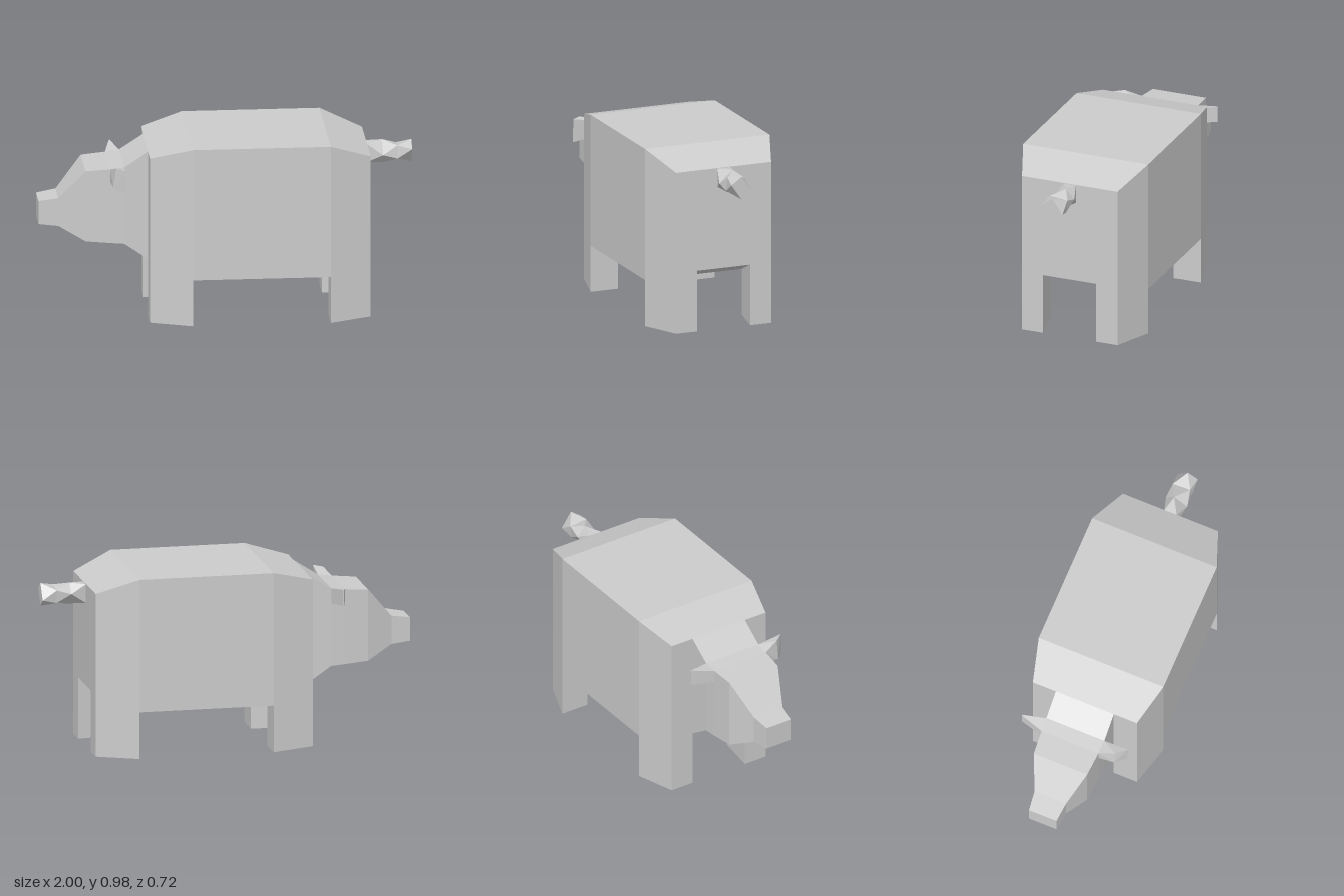
import * as THREE from 'three';

const material = new THREE.MeshStandardMaterial({ color: 0xcccccc, flatShading: true });

// Skin a row of four-cornered rings; corners run counter-clockwise seen from the far end.
function loft(name, rings, capStart = true, capEnd = true) {
  const pos = [];
  const quad = (a, b, c, d) => [a, b, c, a, c, d].forEach((p) => pos.push(...p));
  for (let i = 0; i < rings.length - 1; i++) {
    for (let j = 0; j < 4; j++) {
      const k = (j + 1) % 4;
      quad(rings[i][j], rings[i][k], rings[i + 1][k], rings[i + 1][j]);
    }
  }
  if (capStart) quad(...[...rings[0]].reverse());
  if (capEnd) quad(...rings[rings.length - 1]);
  const geometry = new THREE.BufferGeometry();
  geometry.setAttribute('position', new THREE.Float32BufferAttribute(pos, 3));
  geometry.computeVertexNormals();
  const mesh = new THREE.Mesh(geometry, material);
  mesh.name = name;
  return mesh;
}

// Upright rectangular ring at a given x
const slice = (x, y0, y1, z0, z1) => [[x, y0, z0], [x, y1, z0], [x, y1, z1], [x, y0, z1]];

export function createModel() {
  const animal = new THREE.Group();
  animal.name = 'pig';

  // Body: x, belly height, back height, half width
  const body = [
    [-0.42, 0.32, 0.92, 0.3],
    [-0.195, 0.255, 0.98, 0.36],
    [0.54, 0.255, 0.98, 0.36],
    [0.76, 0.34, 0.895, 0.275],
  ];
  animal.add(loft('body', body.map(([x, y0, y1, w]) => slice(x, y0, y1, -w, w))));

  // Legs continue the body's flanks down to the ground
  const footHeights = [0.008, 0, 0, 0.005];
  for (const [label, first] of [['front', 0], ['back', 2]]) {
    for (const side of [-1, 1]) {
      const rings = [first, first + 1].map((i) => {
        const [x, belly, , w] = body[i];
        const z = [side * w, side * w * 0.556].sort((a, b) => a - b);
        return slice(x, footHeights[i], belly, z[0], z[1]);
      });
      animal.add(loft(label + (side > 0 ? 'LegNear' : 'LegFar'), rings));
    }
  }

  // Head, from snout to neck
  const head = [
    [-1, 0.505, 0.633, 0.079],
    [-0.895, 0.495, 0.65, 0.091],
    [-0.755, 0.425, 0.815, 0.154],
    [-0.625, 0.415, 0.825, 0.164],
    [-0.55, 0.41, 0.835, 0.167],
    [-0.42, 0.32, 0.92, 0.167],
  ];
  animal.add(loft('head', head.map(([x, y0, y1, w]) => slice(x, y0, y1, -w, w)), true, false));

  // Ears: a flared flap on one side, a pointed wedge on the other
  const earBase = (z) => [[-0.625, 0.755, z], [-0.55, 0.75, z], [-0.55, 0.834, z], [-0.625, 0.825, z]];
  animal.add(loft('earNear', [
    earBase(0.163),
    [[-0.615, 0.75, 0.25], [-0.558, 0.728, 0.305], [-0.555, 0.855, 0.305], [-0.6, 0.855, 0.25]],
  ], false));
  animal.add(loft('earFar', [
    [[-0.594, 0.765, -0.29], [-0.588, 0.765, -0.29], [-0.588, 0.852, -0.29], [-0.594, 0.852, -0.29]],
    earBase(-0.163),
  ], true, false));

  // Tail: a rectangular bar twisting as it goes back
  const corners = [305, 235, 125, 55];
  const tail = [0.76, 0.845, 0.922, 1].map((x, i) => corners.map((deg) => {
    const a = THREE.MathUtils.degToRad(deg + i * 48.3);
    return [x, 0.842 + 0.062 * Math.sin(a), 0.062 * Math.cos(a)];
  }));
  // Ring order must run counter-clockwise seen from behind
  animal.add(loft('tail', tail, false));

  return animal;
}
